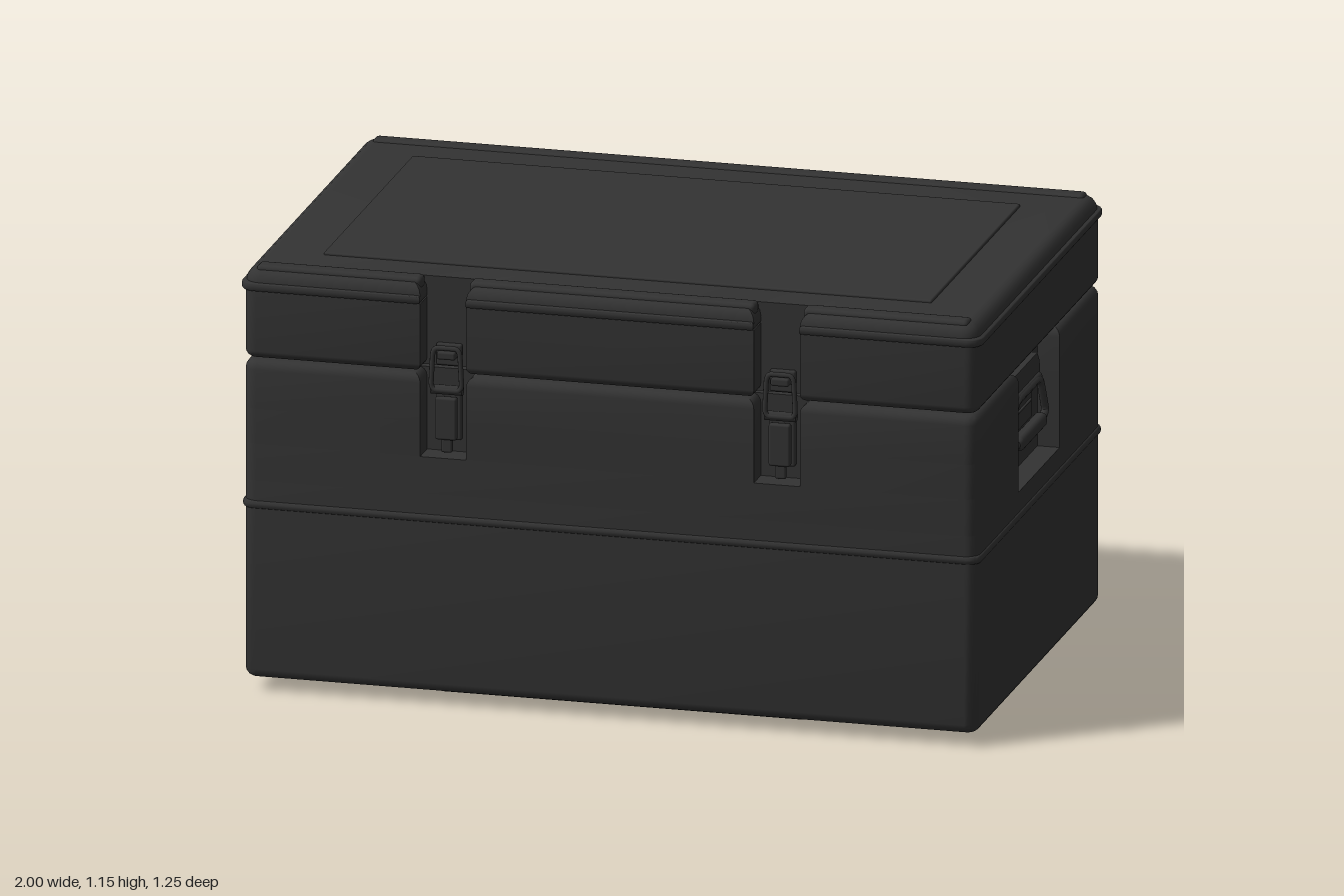
import * as THREE from 'three';
import { toCreasedNormals } from 'three/addons/utils/BufferGeometryUtils.js';
import { RoundedBoxGeometry } from 'three/addons/geometries/RoundedBoxGeometry.js';

const mat = new THREE.MeshStandardMaterial({ color: 0x333333 });

function add(parent, name, geo, x = 0, y = 0, z = 0) {
  const mesh = new THREE.Mesh(geo, mat);
  mesh.name = name;
  mesh.position.set(x, y, z);
  parent.add(mesh);
  return mesh;
}
const rbox = (w, h, d, r = 0.006) => new RoundedBoxGeometry(w, h, d, 2, r);

// Rounded rectangle seen from above, with notches cut in from its sides.
// Sides run front, +x, back, -x; a notch has a side, centre c, half width w, floor distance.
function outline(hx, hz, r, inset, notches) {
  const pts = [];
  for (let side = 0; side < 4; side++) {
    const L = (side % 2 ? hz : hx) - inset, D = (side % 2 ? hx : hz) - inset;
    const local = [];
    for (const n of notches.filter((n) => n.side === side).sort((a, b) => a.c - b.c)) {
      const a = n.c - n.w - inset, b = n.c + n.w + inset;
      local.push([a, D], [a, n.floor], [b, n.floor], [b, D]);
    }
    const rr = Math.max(r - inset, 0.004);
    for (let i = 0; i <= 5; i++) {
      const t = Math.PI / 2 * (1 - i / 5);
      local.push([L - rr + rr * Math.cos(t), D - rr + rr * Math.sin(t)]);
    }
    for (const [t, n] of local) pts.push([[t, n], [n, -t], [-t, -n], [-n, t]][side]);
  }
  return pts;
}

// Stack of outlines with rounded bottom and top edges, closed by caps
function slab({ y0, y1, hx, hz, r = 0.035, bottom = 0, top = 0, notches = [] }) {
  const rings = [];
  const steps = 4;
  const ring = (y, inset) => rings.push({ y, pts: outline(hx, hz, r, inset, notches) });
  for (let i = bottom ? 0 : steps; i <= steps; i++) {
    const a = i / steps * Math.PI / 2;
    ring(y0 + bottom * (1 - Math.cos(a)), bottom * (1 - Math.sin(a)));
  }
  for (let i = steps; i >= (top ? 0 : steps); i--) {
    const a = i / steps * Math.PI / 2;
    ring(y1 - top * (1 - Math.cos(a)), top * (1 - Math.sin(a)));
  }
  const n = rings[0].pts.length, pos = [], idx = [];
  for (const { y, pts } of rings) for (const [x, z] of pts) pos.push(x, y, z);
  for (let k = 0; k < rings.length - 1; k++) {
    for (let j = 0; j < n; j++) {
      const a = k * n + j, b = k * n + (j + 1) % n;
      idx.push(a, b, b + n, a, b + n, a + n);
    }
  }
  for (const k of [0, rings.length - 1]) {
    const flat = rings[k].pts.map(([x, z]) => new THREE.Vector2(x, -z));
    for (const [a, b, c] of THREE.ShapeUtils.triangulateShape(flat, [])) {
      if (k) idx.push(k * n + a, k * n + b, k * n + c);
      else idx.push(a, c, b);
    }
  }
  const geo = new THREE.BufferGeometry();
  geo.setAttribute('position', new THREE.Float32BufferAttribute(pos, 3));
  geo.setIndex(idx);
  return toCreasedNormals(geo, 0.6);
}

// Closed wire through corner points with softened corners
function wire(corners, radius) {
  const v = corners.map((p) => new THREE.Vector3(...p));
  const path = new THREE.CurvePath();
  v.forEach((p, i) => {
    const q = v[(i + 1) % v.length], s = v[(i + 2) % v.length];
    path.add(new THREE.LineCurve3(p.clone().lerp(q, 0.2), p.clone().lerp(q, 0.8)));
    path.add(new THREE.QuadraticBezierCurve3(p.clone().lerp(q, 0.8), q, q.clone().lerp(s, 0.2)));
  });
  return new THREE.TubeGeometry(path, 64, radius, 8, true);
}

function makeLatch() {
  const g = new THREE.Group();
  g.name = 'latch';
  add(g, 'latchBase', rbox(0.07, 0.13, 0.02), 0, 0.775, 0.558);
  add(g, 'latchLever', rbox(0.058, 0.115, 0.022), 0, 0.775, 0.588);
  add(g, 'latchTab', rbox(0.03, 0.05, 0.016), 0, 0.705, 0.58);
  add(g, 'latchPivot', new THREE.CylinderGeometry(0.013, 0.013, 0.085, 12).rotateZ(Math.PI / 2), 0, 0.85, 0.58);
  add(g, 'latchLoop', wire([[-0.042, 0.85, 0.588], [0.042, 0.85, 0.588],
    [0.036, 0.965, 0.588], [-0.036, 0.965, 0.588]], 0.007));
  add(g, 'keeperPlate', rbox(0.07, 0.06, 0.016), 0, 0.94, 0.556);
  add(g, 'keeperHook', rbox(0.05, 0.022, 0.045), 0, 0.945, 0.572);
  return g;
}

// Drop handle, built for the +x side
function makeHandle() {
  const g = new THREE.Group();
  g.name = 'sideHandle';
  const bracket = new THREE.Shape([[-0.14, 0.8], [0.14, 0.8], [0.135, 0.83], [0.115, 0.855],
    [-0.115, 0.855], [-0.135, 0.83]].map((p) => new THREE.Vector2(...p)));
  const geo = new THREE.ExtrudeGeometry(bracket, { depth: 0.022, bevelSize: 0.003, bevelThickness: 0.003, bevelSegments: 2 });
  add(g, 'handleBracket', geo.rotateY(Math.PI / 2), 0.93);
  add(g, 'handlePlate', rbox(0.01, 0.12, 0.24, 0.004), 0.933, 0.74);
  add(g, 'handleLoop', wire([[0.958, 0.79, -0.125], [0.958, 0.79, 0.125],
    [0.963, 0.675, 0.17], [0.963, 0.675, -0.17]], 0.011));
  add(g, 'handleHinge', new THREE.CylinderGeometry(0.014, 0.014, 0.25, 12).rotateX(Math.PI / 2), 0.952, 0.79);
  add(g, 'handleGrip', rbox(0.036, 0.038, 0.25, 0.014), 0.963, 0.677);
  add(g, 'handleRib', rbox(0.008, 0.006, 0.21, 0.002), 0.939, 0.733);
  return g;
}

export function createModel() {
  const model = new THREE.Group();
  model.name = 'storageCase';
  const pair = (side, w, floor) => [-0.45, 0.45].map((c) => ({ side, c, w, floor }));
  const front = pair(0, 0.062, 0.55), back = pair(2, 0.075, 0.59);
  const sides = [1, 3].map((side) => ({ side, c: 0, w: 0.205, floor: 0.93 }));
  const size = { hx: 0.99, hz: 0.62 };

  // Body, layered where the recesses begin
  const body = new THREE.Group();
  body.name = 'body';
  model.add(body);
  add(body, 'bodyLower', slab({ ...size, y0: 0.035, y1: 0.575, bottom: 0.025 }));
  add(body, 'bodyMiddle', slab({ ...size, y0: 0.575, y1: 0.675, notches: sides }));
  add(body, 'bodyLatchZone', slab({ ...size, y0: 0.675, y1: 0.77, notches: [...sides, ...front] }));
  add(body, 'bodyUpper', slab({ ...size, y0: 0.77, y1: 0.9, top: 0.025, notches: [...sides, ...front, ...back] }));
  add(body, 'bodyRib', slab({ hx: 0.996, hz: 0.625, y0: 0.498, y1: 0.52, bottom: 0.008, top: 0.008 }));
  add(body, 'gasket', slab({ hx: 0.87, hz: 0.48, y0: 0.89, y1: 0.915 }));

  // Lid with overhanging rim, rounded crown and raised panel
  const lid = new THREE.Group();
  lid.name = 'lid';
  model.add(lid);
  add(lid, 'lidWall', slab({ ...size, y0: 0.906, y1: 1.09, bottom: 0.02, notches: [...front, ...back] }));
  add(lid, 'lidRim', slab({ hx: 1, hz: 0.627, r: 0.04, y0: 1.09, y1: 1.113, bottom: 0.007, top: 0.007, notches: front }));
  add(lid, 'lidCrown', slab({ ...size, y0: 1.108, y1: 1.148, r: 0.045, top: 0.036, notches: front }));
  add(lid, 'lidPanel', rbox(1.64, 0.03, 0.89, 0.005), 0, 1.14, 0);
  for (const [a, b] of [[-0.96, -0.515], [-0.385, 0.385], [0.515, 0.96]]) {
    add(lid, 'frontLidRidge', rbox(b - a, 0.036, 0.048, 0.012), (a + b) / 2, 1.137, 0.577);
  }
  add(lid, 'backLidRidge', rbox(1.92, 0.036, 0.048, 0.012), 0, 1.137, -0.577);

  for (const s of [-1, 1]) {
    // Front latches and back hinges
    const latch = makeLatch();
    latch.position.x = s * 0.45;
    model.add(latch);
    add(model, 'hingePlate', rbox(0.13, 0.26, 0.012, 0.004), s * 0.45, 0.92, -0.592);
    add(model, 'hingeKnuckle', new THREE.CylinderGeometry(0.013, 0.013, 0.13, 14).rotateZ(Math.PI / 2),
      s * 0.45, 0.903, -0.602);

    // Side handles
    const handle = makeHandle();
    if (s < 0) handle.rotation.y = Math.PI;
    model.add(handle);

    // Runners underneath
    add(model, 'longFoot', rbox(0.99, 0.05, 0.1, 0.01), 0, 0.025, s * 0.45);
    add(model, 'shortFoot', rbox(0.1, 0.05, 0.75, 0.01), s * 0.75, 0.025, 0);
  }
  return model;
}
